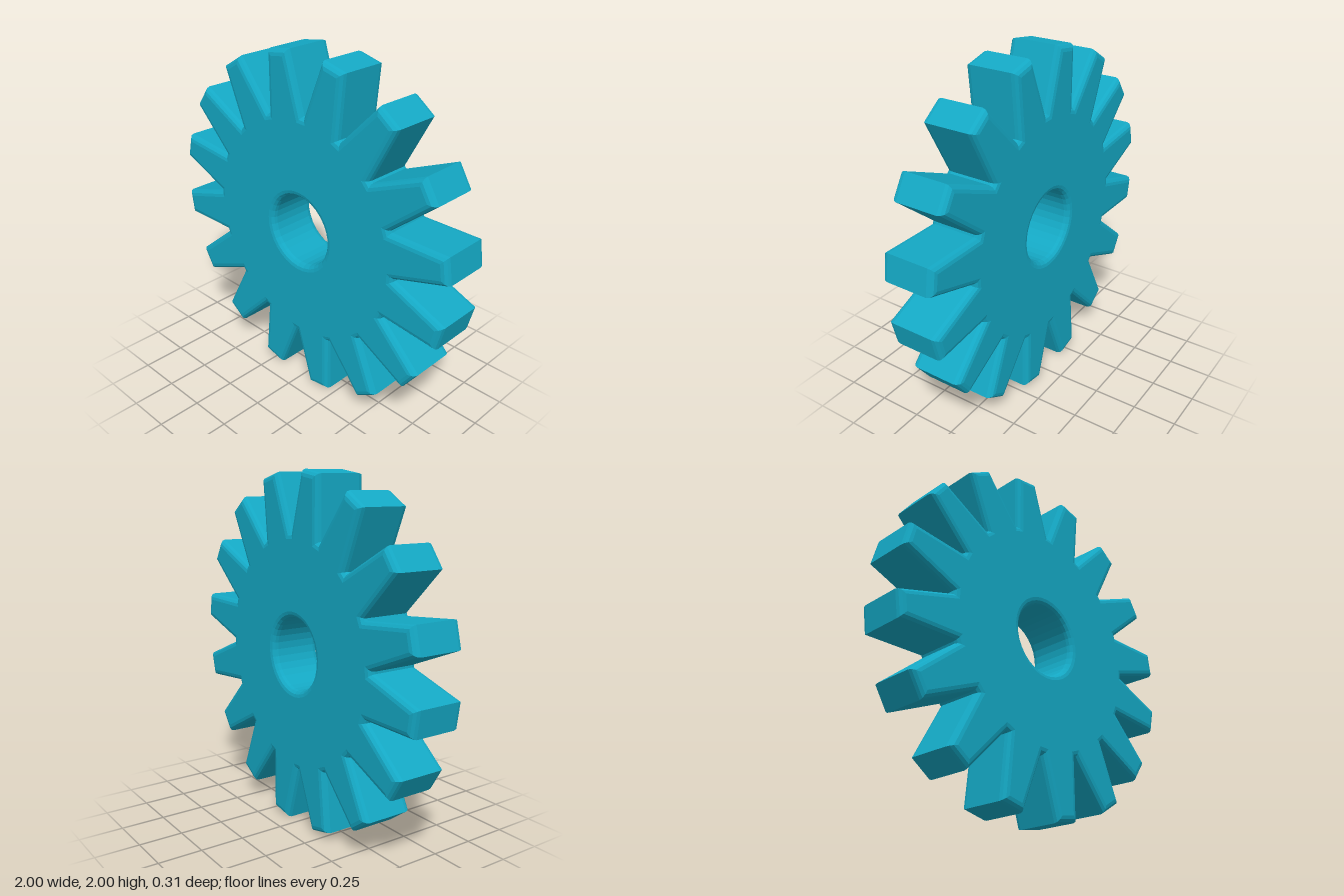
import * as THREE from 'three';

const TEETH = 16;
const PHASE = 8.6;      // angle of the first tooth, degrees
const THICKNESS = 0.31;
const BEVEL = 0.035;

const polar = (r, deg) => {
  const a = THREE.MathUtils.degToRad(deg);
  return new THREE.Vector2(r * Math.cos(a), r * Math.sin(a));
};

export function createModel() {
  const group = new THREE.Group();
  group.name = 'gear';

  // Outline: tapered teeth with narrow notches between them
  const outline = [];
  for (let i = 0; i < TEETH; i++) {
    const mid = PHASE + (i * 360) / TEETH;
    outline.push(
      polar(0.67, mid - 10.7), polar(1.003, mid - 4.25),
      polar(1.003, mid + 4.25), polar(0.67, mid + 10.7));
  }
  const shape = new THREE.Shape(outline);

  // Axle hole
  const hole = [];
  for (let i = 0; i < 32; i++) hole.push(polar(0.206, PHASE - (i * 360) / 32));
  shape.holes.push(new THREE.Path(hole));

  // Rounded rims are cut inward from the outline
  const geometry = new THREE.ExtrudeGeometry(shape, {
    depth: THICKNESS - 2 * BEVEL,
    bevelEnabled: true,
    bevelThickness: BEVEL,
    bevelSize: BEVEL,
    bevelOffset: -BEVEL,
    bevelSegments: 3,
  });
  geometry.translate(0, 1, -THICKNESS / 2 + BEVEL);

  const material = new THREE.MeshStandardMaterial({ color: 0x14a8c4, flatShading: true });
  const wheel = new THREE.Mesh(geometry, material);
  wheel.name = 'toothedWheel';
  group.add(wheel);
  return group;
}
